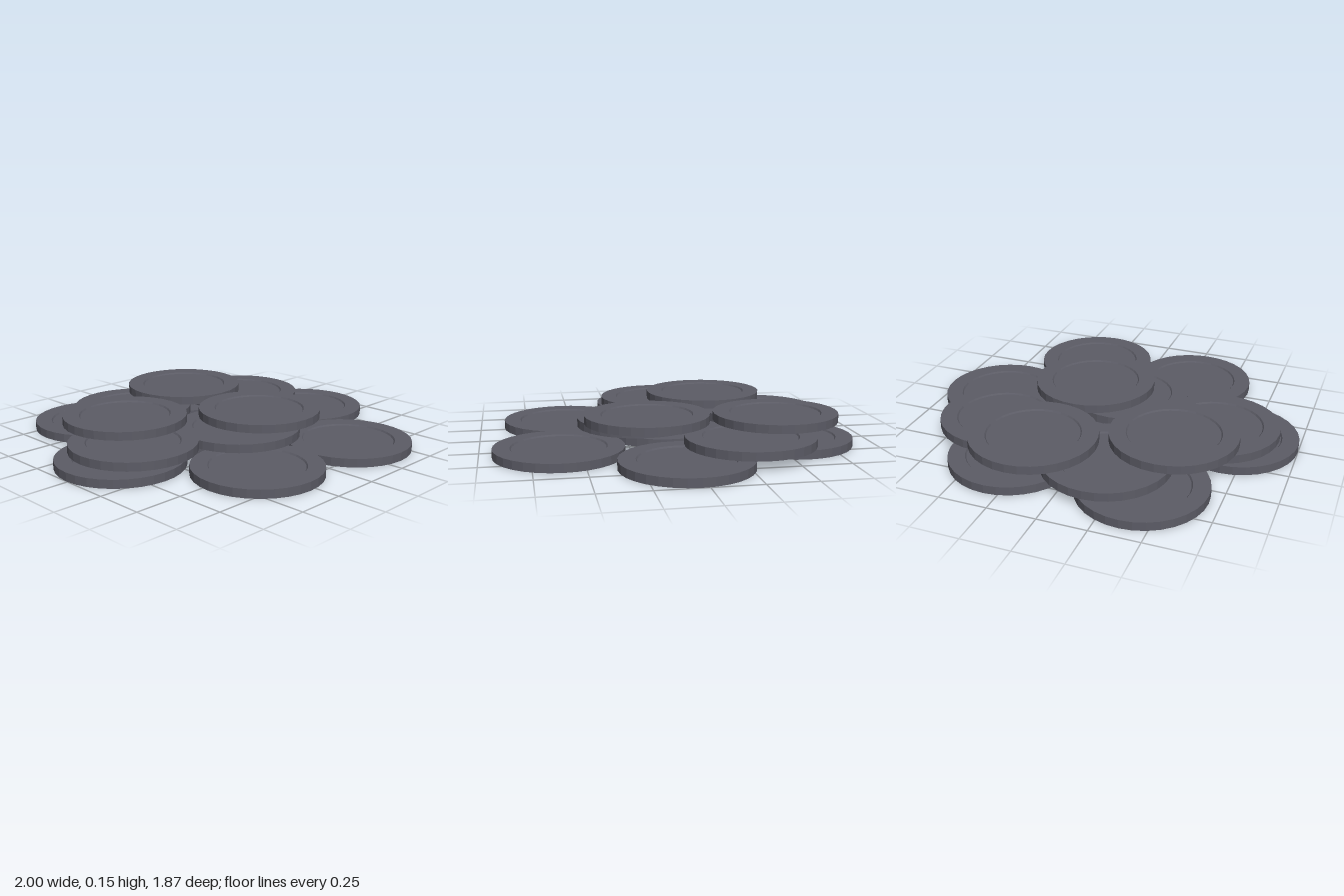
import * as THREE from 'three';

const RADIUS = 0.326;
const THICKNESS = 0.044;
const PITCH = 0.0535;

// Disc centres [x, z], one list per layer from the ground up
const LAYERS = [
  [[-0.02, 0.03], [-0.37, -0.61], [0.32, -0.57], [-0.674, -0.01], [0.673, 0.037], [-0.289, 0.545], [0.336, 0.61]],
  [[-0.578, -0.026], [-0.16, -0.53], [0.503, -0.316], [-0.027, 0.164]],
  [[-0.423, -0.278], [0.228, -0.524], [0.16, 0.144]],
];

// Flat coin with a raised rim around a shallow recess on top
function discGeometry() {
  const profile = [
    [0, 0],
    [RADIUS, 0],
    [RADIUS, THICKNESS],
    [0.24, THICKNESS],
    [0.234, THICKNESS - 0.008],
    [0, THICKNESS - 0.008],
  ].map(([r, y]) => new THREE.Vector2(r, y));
  const geometry = new THREE.LatheGeometry(profile, 32).toNonIndexed();
  geometry.computeVertexNormals();
  return geometry;
}

export function createModel() {
  const model = new THREE.Group();
  model.name = 'discPile';
  const slate = new THREE.MeshStandardMaterial({ color: 0x5c5c66, flatShading: true });
  slate.name = 'slateGrey';
  const geometry = discGeometry();

  LAYERS.forEach((centres, level) => {
    const layer = new THREE.Group();
    layer.name = ['bottomLayer', 'middleLayer', 'topLayer'][level];
    layer.position.y = level * PITCH;
    centres.forEach(([x, z], i) => {
      const disc = new THREE.Mesh(geometry, slate);
      disc.name = `disc${i + 1}`;
      disc.position.set(x, 0, z);
      layer.add(disc);
    });
    model.add(layer);
  });
  return model;
}
